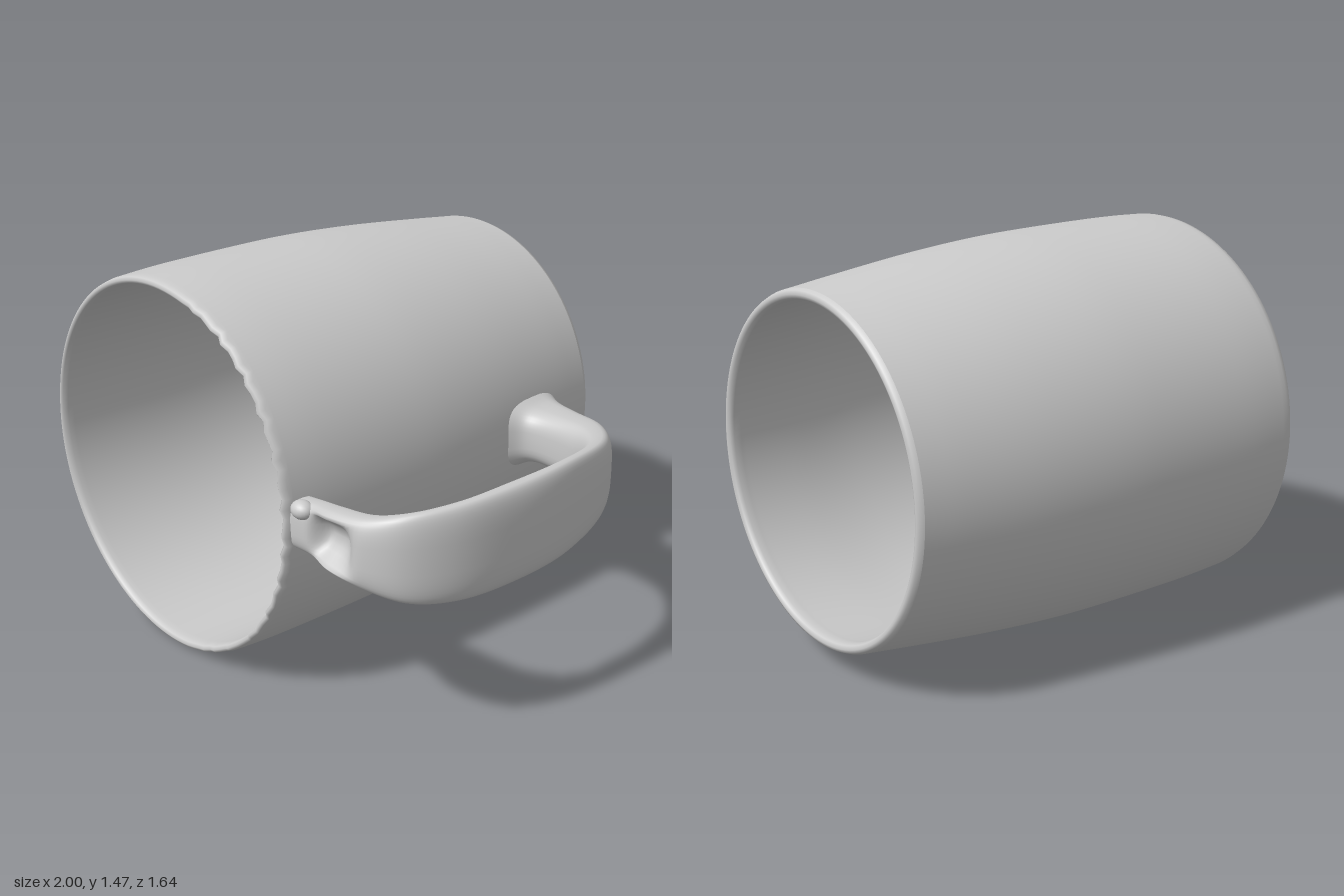
import * as THREE from 'three';

const material = new THREE.MeshStandardMaterial({ color: 0xcccccc, side: THREE.DoubleSide });
const CX = -0.286, CY = 0.733;

// Open tapered sleeve lying along z, with rounded rims
function createCup() {
  const curve = (pts) => new THREE.SplineCurve(pts.map((p) => new THREE.Vector2(...p))).getPoints(36);
  const outer = curve([[0.648, -0.8], [0.655, -0.74], [0.672, -0.6], [0.705, -0.3], [0.727, 0], [0.733, 0.25], [0.732, 0.6], [0.724, 0.79]]);
  const inner = curve([[0.692, 0.79], [0.69, 0.5], [0.685, 0.1], [0.665, -0.25], [0.632, -0.55], [0.61, -0.77]]);
  const frontRim = [new THREE.Vector2(0.719, 0.81), new THREE.Vector2(0.708, 0.817), new THREE.Vector2(0.697, 0.81)];
  const backRim = [[0.606, -0.8], [0.613, -0.815], [0.627, -0.822], [0.641, -0.816], [0.648, -0.8]]
    .map((p) => new THREE.Vector2(...p));
  const geo = new THREE.LatheGeometry([...outer, ...frontRim, ...inner, ...backRim], 128);
  geo.rotateX(Math.PI / 2);
  // Slightly chipped front rim on the handle side
  const pos = geo.attributes.position;
  for (let i = 0; i < pos.count; i++) {
    const x = pos.getX(i), y = pos.getY(i), z = pos.getZ(i);
    if (z > 0.77 && x > 0.1) {
      pos.setZ(i, z - 0.008 * (1 + Math.sin(Math.atan2(y, x) * 50)) * Math.min(1, (x - 0.1) * 4));
    }
  }
  geo.scale(0.976, 1, 1);
  const mesh = new THREE.Mesh(geo, material);
  mesh.name = 'cupWall';
  mesh.position.set(CX, CY, 0);
  return mesh;
}

// Handle lofted between an outer and an inner edge line: outer x, z, inner x, z, half height
const stations = [
  [0.33, -0.635, 0.38, -0.27, 0.14], [0.4, -0.6, 0.44, -0.35, 0.112], [0.53, -0.565, 0.55, -0.37, 0.11],
  [0.7, -0.51, 0.7, -0.34, 0.125], [0.87, -0.35, 0.83, -0.22, 0.15], [0.97, -0.05, 0.9, 0, 0.178],
  [1, 0.25, 0.908, 0.25, 0.183], [0.97, 0.52, 0.9, 0.47, 0.178], [0.88, 0.69, 0.85, 0.6, 0.162],
  [0.75, 0.775, 0.74, 0.655, 0.132], [0.6, 0.795, 0.59, 0.67, 0.115], [0.5, 0.775, 0.49, 0.67, 0.1],
  [0.4, 0.79, 0.4, 0.67, 0.09],
];

function createHandle() {
  const outer = new THREE.CatmullRomCurve3(stations.map((s) => new THREE.Vector3(s[0], s[4], s[1])));
  const inner = new THREE.CatmullRomCurve3(stations.map((s) => new THREE.Vector3(s[2], s[4], s[3])));
  const rows = 96, cols = 40, verts = [], index = [];
  const power = (v) => Math.sign(v) * Math.abs(v) ** 0.65;
  for (let i = 0; i <= rows; i++) {
    const t = i / rows, o = outer.getPoint(t), n = inner.getPoint(t);
    // Hollow in the outer face near the front end
    const hollow = 0.75 * Math.exp(-(((t * 12 - 10.1) / 0.75) ** 4));
    for (let j = 0; j < cols; j++) {
      const a = (j / cols) * Math.PI * 2;
      const v = power(Math.sin(a));
      let u = power(Math.cos(a)) * 0.5 + 0.5;
      if (u > 0.5) u -= hollow * Math.max(0, 1 - v * v * 1.6);
      verts.push(n.x + (o.x - n.x) * u, CY + 0.007 + v * o.y, n.z + (o.z - n.z) * u);
      if (i < rows) {
        const k = (j + 1) % cols, p = i * cols + j, q = i * cols + k;
        index.push(p, q, p + cols, q, q + cols, p + cols);
      }
    }
  }
  const geo = new THREE.BufferGeometry();
  geo.setAttribute('position', new THREE.Float32BufferAttribute(verts, 3));
  geo.setIndex(index);
  geo.computeVertexNormals();
  const mesh = new THREE.Mesh(geo, material);
  mesh.name = 'handle';
  return mesh;
}

// Small lump where the handle meets the front rim
function createLump() {
  const mesh = new THREE.Mesh(new THREE.SphereGeometry(0.038, 20, 14), material);
  mesh.name = 'handleJointLump';
  mesh.scale.set(1.2, 0.9, 1);
  mesh.position.set(0.455, 0.81, 0.762);
  return mesh;
}

export function createModel() {
  const group = new THREE.Group();
  group.name = 'mug';
  group.add(createCup(), createHandle(), createLump());
  return group;
}
